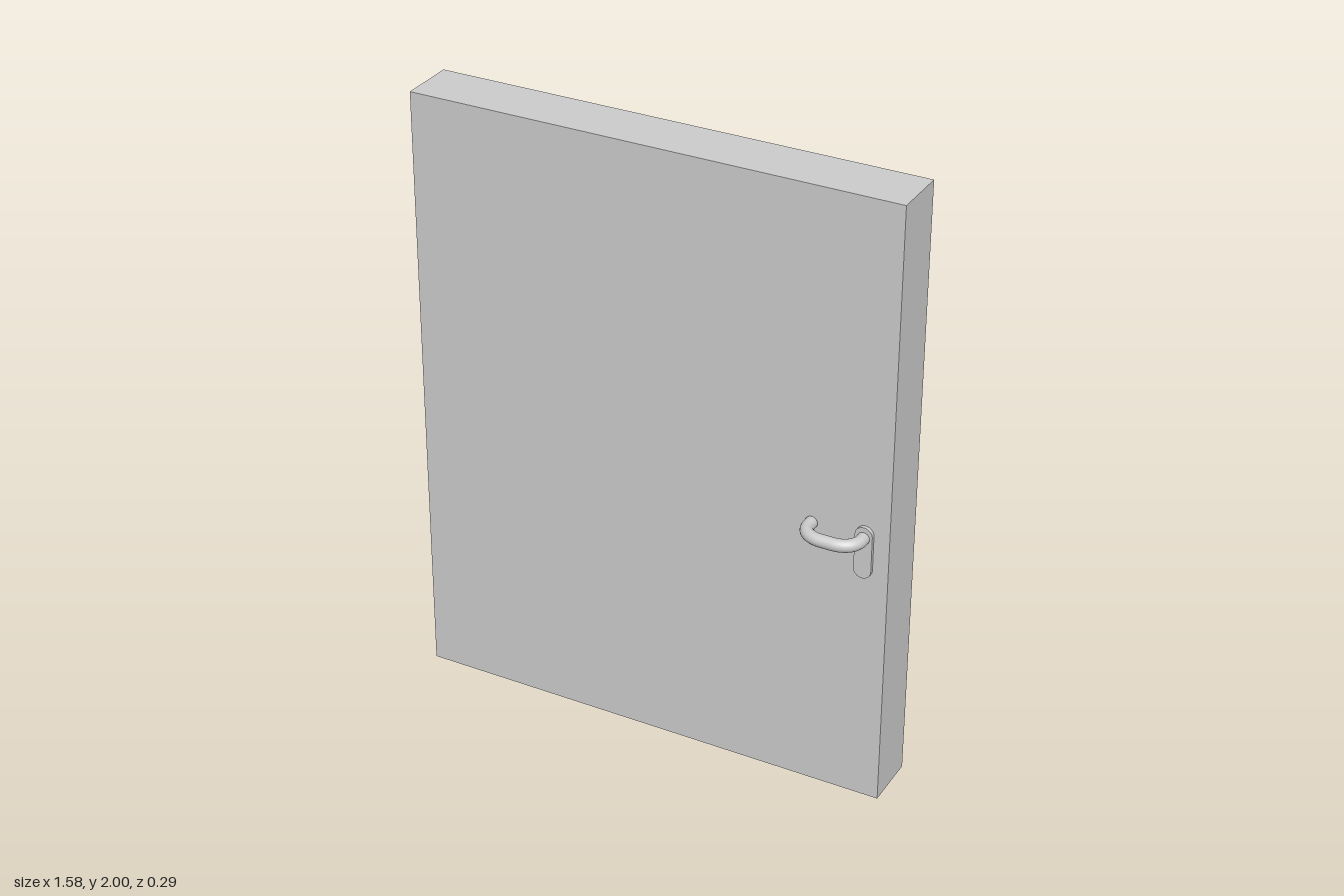
import * as THREE from 'three';

const material = new THREE.MeshStandardMaterial({ color: 0xcccccc });

function addMesh(parent, name, geometry, x = 0, y = 0, z = 0) {
  const mesh = new THREE.Mesh(geometry, material);
  mesh.name = name;
  mesh.position.set(x, y, z);
  parent.add(mesh);
  return mesh;
}

export function createModel() {
  const model = new THREE.Group();
  model.name = 'door';

  // Plain slab
  const front = 0.041, back = -0.143;
  addMesh(model, 'doorPanel', new THREE.BoxGeometry(1.582, 2, front - back), 0, 1, (front + back) / 2);

  // Backplate: upright rounded slot shape
  const handleX = 0.713, handleY = 0.922;
  const r = 0.028, top = 0.93, bottom = 0.813;
  const slot = new THREE.Shape();
  slot.absarc(0, top, r, 0, Math.PI, false);
  slot.absarc(0, bottom, r, Math.PI, Math.PI * 2, false);
  slot.closePath();
  const plate = new THREE.ExtrudeGeometry(slot, { depth: 0.012, bevelEnabled: false, curveSegments: 20 });
  addMesh(model, 'backplate', plate, handleX, 0, front);

  // Lever: round bar bent into a U, returning towards the door
  const lever = new THREE.Group();
  lever.name = 'lever';
  lever.position.y = handleY;
  model.add(lever);
  const v = (x, z) => new THREE.Vector3(x, 0, z);
  const endX = 0.543, endZ = 0.045, bendZ = 0.065, gripZ = 0.123;
  const path = new THREE.CurvePath();
  path.add(new THREE.LineCurve3(v(handleX, endZ), v(handleX, bendZ)));
  path.add(new THREE.CubicBezierCurve3(v(handleX, bendZ), v(handleX, 0.1), v(0.685, gripZ), v(0.645, gripZ)));
  path.add(new THREE.LineCurve3(v(0.645, gripZ), v(0.611, gripZ)));
  path.add(new THREE.CubicBezierCurve3(v(0.611, gripZ), v(0.571, gripZ), v(endX, 0.1), v(endX, bendZ)));
  path.add(new THREE.LineCurve3(v(endX, bendZ), v(endX, endZ)));
  const barRadius = 0.02;
  addMesh(lever, 'leverBar', new THREE.TubeGeometry(path, 48, barRadius, 20, false));

  // Flat ends of the bar face the door
  for (const x of [endX, handleX]) {
    addMesh(lever, 'leverEnd', new THREE.CircleGeometry(barRadius, 20), x, 0, endZ).rotation.y = Math.PI;
  }

  return model;
}
